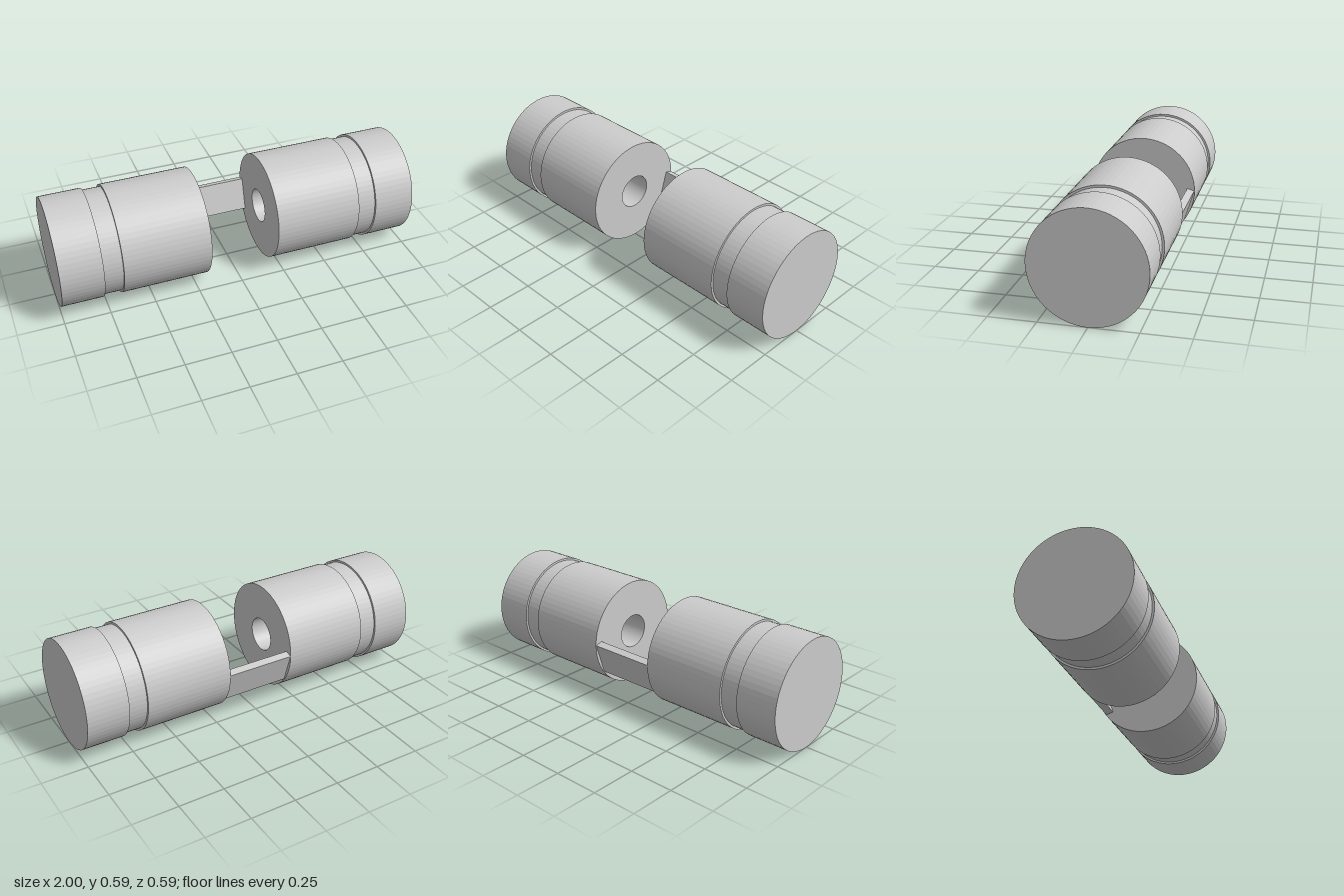
import * as THREE from 'three';

const R = 0.297;           // body radius, also the height of the axis
const GROOVE_R = 0.285;
const BORE_R = 0.095;
const INNER = 0.19;        // distance of the inner faces from the centre

const material = new THREE.MeshStandardMaterial({ color: 0xcccccc, flatShading: true });

// Half body turned about its axis: blind bore, inner face, groove, outer face
function bodyGeometry() {
  const profile = [
    [0, 0.44], [BORE_R, 0.44], [BORE_R, INNER],
    [R, INNER], [R, 0.67], [GROOVE_R, 0.67], [GROOVE_R, 0.772], [R, 0.772],
    [R, 1], [0, 1],
  ].map(([r, h]) => new THREE.Vector2(r, h));
  const geometry = new THREE.LatheGeometry(profile, 64).toNonIndexed();
  geometry.computeVertexNormals();
  return geometry;
}

export function createModel() {
  const model = new THREE.Group();
  model.name = 'linkedCylinders';

  // Two mirrored grooved cylinders
  const geometry = bodyGeometry();
  for (const [name, side] of [['leftCylinder', 1], ['rightCylinder', -1]]) {
    const cylinder = new THREE.Mesh(geometry, material);
    cylinder.name = name;
    cylinder.rotation.z = -side * Math.PI / 2;
    cylinder.position.y = R;
    model.add(cylinder);
  }

  // Tilted flat bar joining them near the back rim
  const bar = new THREE.Mesh(new THREE.BoxGeometry(2 * INNER + 0.01, 0.183, 0.042), material);
  bar.name = 'connectingBar';
  bar.position.set(0, 0.221, -0.2475);
  bar.rotation.x = -0.305;
  model.add(bar);

  return model;
}
